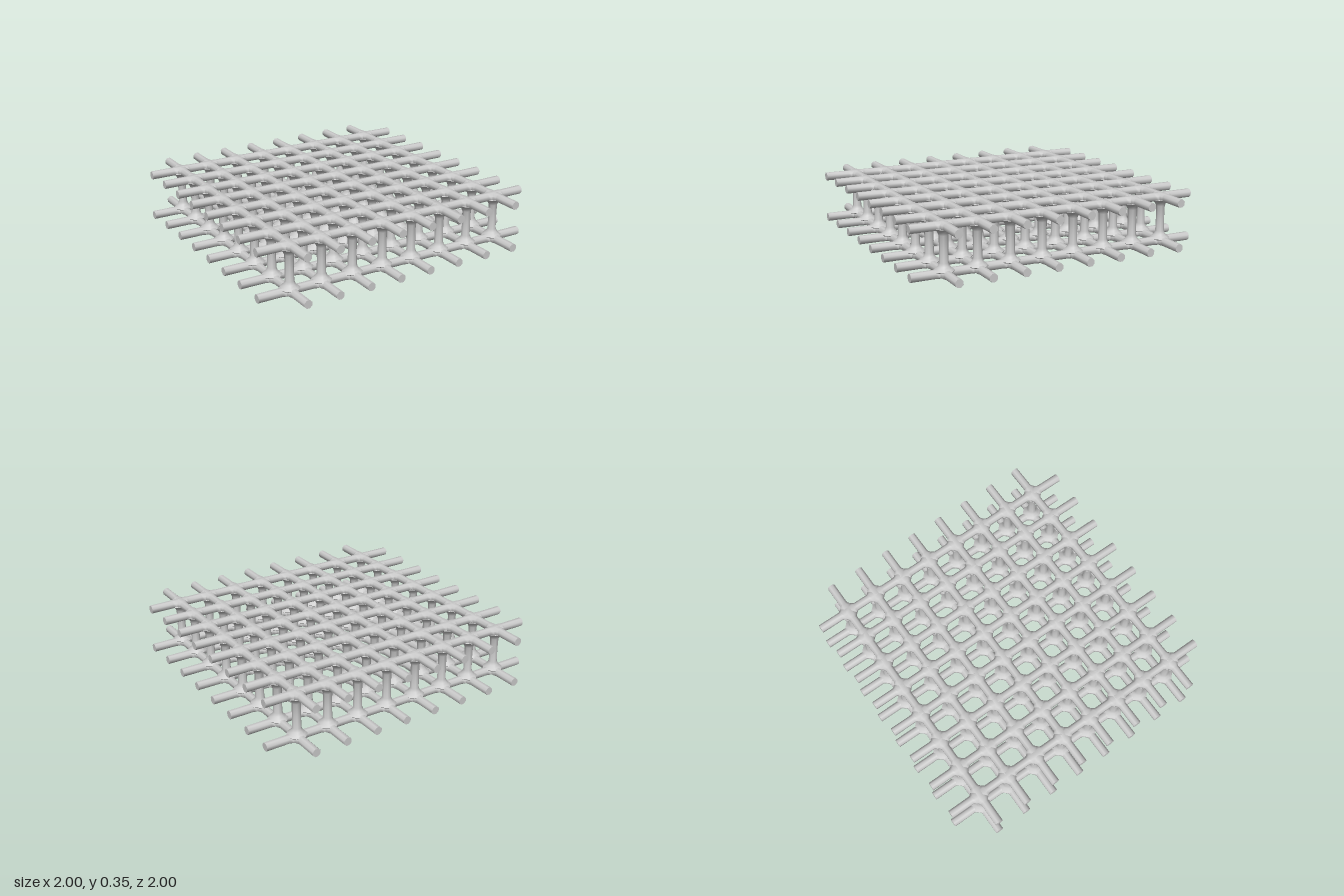
import * as THREE from 'three';
import { mergeVertices, toCreasedNormals } from 'three/addons/utils/BufferGeometryUtils.js';

const PITCH = 2 / 9;        // spacing of the bars
const COUNT = 8;            // bars per direction
const R = 0.0265;           // half thickness of a bar
const HEIGHT = 0.35;
const nodes = Array.from({ length: COUNT }, (_, i) => (i - (COUNT - 1) / 2) * PITCH);

// Octagonal bar along y whose half widths follow stations [y, halfX, halfZ]
function barGeometry(stations) {
  const n = stations.length - 1;
  let g = new THREE.CylinderGeometry(1, 1, n, 8, n, false, Math.PI / 8);
  g.deleteAttribute('uv');
  const p = g.attributes.position;
  const k = 1 / Math.cos(Math.PI / 8);
  for (let i = 0; i < p.count; i++) {
    const [y, hx, hz] = stations[Math.round(p.getY(i) + n / 2)];
    p.setXYZ(i, p.getX(i) * k * hx, y, p.getZ(i) * k * hz);
  }
  g.deleteAttribute('normal');
  g = mergeVertices(g, 1e-5);
  return toCreasedNormals(g, 1.1);
}

// Grid bar: widens sideways at every crossing to form the corner webs
function gridBar() {
  const st = [[-1, R, R]];
  for (const c of nodes) {
    for (const [d, w] of [[-0.064, R], [-0.054, 0.030], [-0.041, 0.041], [0.041, 0.041], [0.054, 0.030], [0.064, R]]) {
      st.push([c + d, w, R]);
    }
  }
  st.push([1, R, R]);
  return barGeometry(st);
}

// Post: flares into the bars at both ends
function postBar() {
  const profile = [
    [0.02, 0.045], [0.044, 0.062], [0.056, 0.05], [0.072, 0.034], [0.092, 0.027], [0.18, 0.0255],
    [0.262, 0.027], [0.28, 0.034], [0.296, 0.047], [0.306, 0.058], [0.33, 0.045],
  ];
  return barGeometry(profile.map(([y, r]) => [y, r, r]));
}

export function createModel() {
  const model = new THREE.Group();
  model.name = 'lattice';
  const material = new THREE.MeshStandardMaterial({ color: 0xcccccc });
  const bar = gridBar();
  const alongX = bar.clone().rotateZ(-Math.PI / 2); // widening turns into y, so roll it back to z
  alongX.rotateX(Math.PI / 2);
  const alongZ = bar.clone().rotateX(Math.PI / 2);
  const post = postBar();

  const add = (parent, geometry, name, x, y, z) => {
    const mesh = new THREE.Mesh(geometry, material);
    mesh.name = name;
    mesh.position.set(x, y, z);
    parent.add(mesh);
  };

  // Two flat grids of crossing bars
  for (const [name, y] of [['lowerGrid', R], ['upperGrid', HEIGHT - R]]) {
    const grid = new THREE.Group();
    grid.name = name;
    for (const c of nodes) {
      add(grid, alongX, 'crossBar', 0, y, c);
      add(grid, alongZ, 'lengthBar', c, y, 0);
    }
    model.add(grid);
  }

  // A post at every crossing
  const posts = new THREE.Group();
  posts.name = 'posts';
  for (const x of nodes) for (const z of nodes) add(posts, post, 'post', x, 0, z);
  model.add(posts);

  return model;
}
